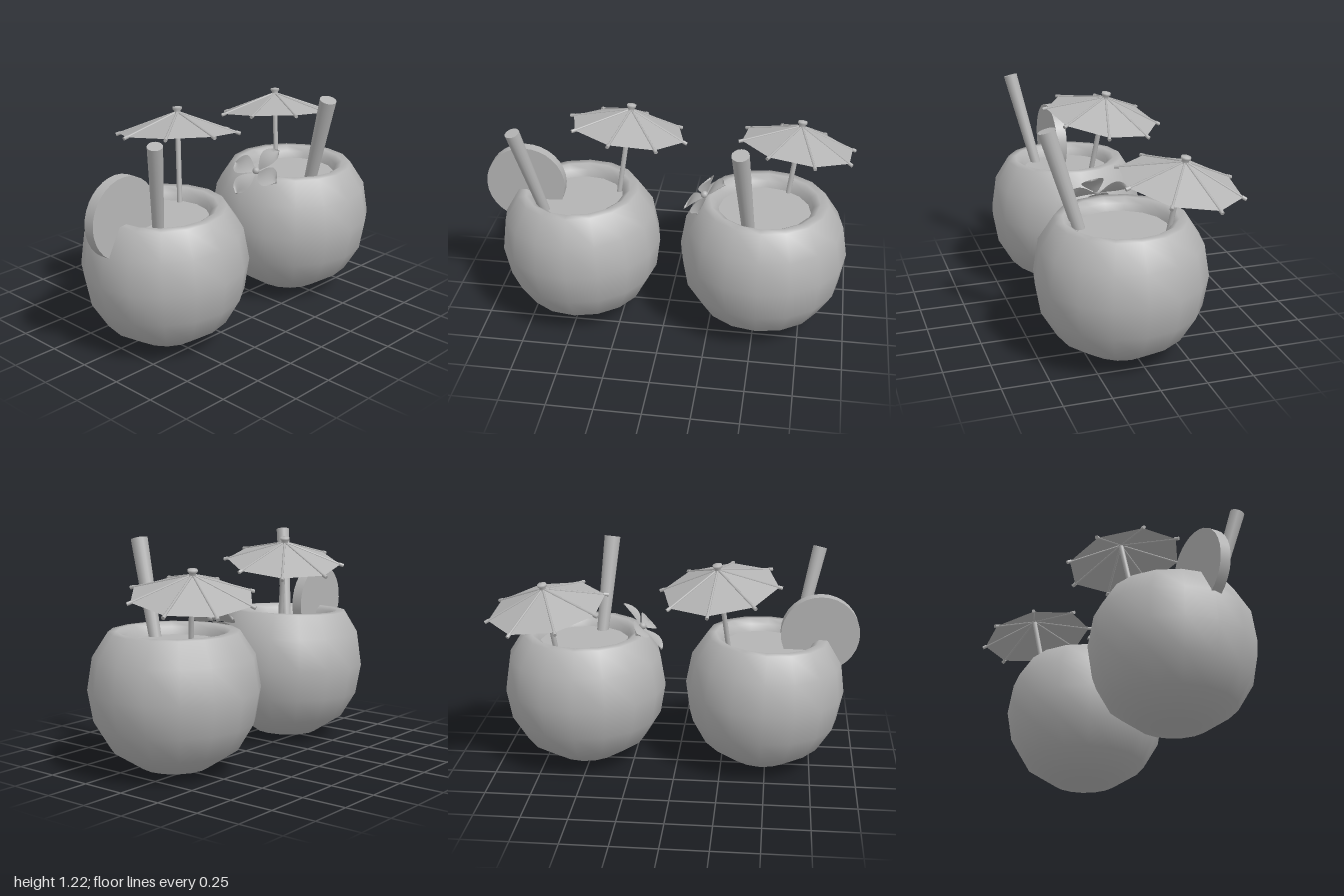
import * as THREE from 'three';

const clay = new THREE.MeshStandardMaterial({ color: 0xb4b4b4, side: THREE.DoubleSide });
clay.name = 'plain grey';
const UP = new THREE.Vector3(0, 1, 0);
const V = (x, y, z) => new THREE.Vector3(x, y, z);

function add(parent, name, geometry) {
  const mesh = new THREE.Mesh(geometry, clay);
  mesh.name = name;
  parent.add(mesh);
  return mesh;
}

// Tapered rod between two points
function rod(parent, name, a, b, ra, rb, sides = 12) {
  const dir = b.clone().sub(a);
  const mesh = add(parent, name, new THREE.CylinderGeometry(rb, ra, dir.length(), sides));
  mesh.position.copy(a).add(b).multiplyScalar(0.5);
  mesh.quaternion.setFromUnitVectors(UP, dir.normalize());
  return mesh;
}

// Hollow coconut with a rounded rim, filled with liquid
function coconut(x, z, scale, tilt) {
  const group = new THREE.Group();
  group.name = 'coconut';
  const profile = [
    [0, -0.445], [0.18, -0.416], [0.335, -0.312], [0.417, -0.17], [0.445, 0],
    [0.417, 0.175], [0.335, 0.305], [0.29, 0.308], [0.255, 0.285], [0.24, 0.23],
  ].map(([r, y]) => new THREE.Vector2(r, y));
  add(group, 'shell', new THREE.LatheGeometry(profile, 16));
  const liquid = add(group, 'liquid', new THREE.CircleGeometry(0.25, 16));
  liquid.rotation.x = -Math.PI / 2;
  liquid.position.y = 0.245;
  group.position.set(x, 0.455, z);
  group.scale.set(scale, 1, scale);
  group.rotation.x = tilt;
  return group;
}

// Cocktail umbrella, placed by the centre of its rim
function umbrella(x, y, z, turn, stickLength) {
  const group = new THREE.Group();
  group.name = 'umbrella';
  const R = 0.318, H = 0.112;
  const cone = new THREE.ConeGeometry(R, H, 8, 1, true).toNonIndexed();
  cone.computeVertexNormals();
  add(group, 'canopy', cone).position.y = H / 2;
  for (let i = 0; i < 8; i++) {
    const a = i * Math.PI / 4, c = Math.cos(a), s = Math.sin(a);
    rod(group, 'rib', V(0, H, 0), V(c * R, 0, s * R), 0.006, 0.007, 6);
    rod(group, 'ribTip', V(c * 0.312, 0.002, s * 0.312), V(c * 0.336, -0.006, s * 0.336), 0.01, 0.01, 8);
  }
  rod(group, 'stick', V(0, -stickLength, 0), V(0, H, 0), 0.014, 0.014, 10);
  const knob = [[0.02, 0], [0.017, 0.014], [0.026, 0.024], [0.025, 0.035], [0, 0.039]];
  add(group, 'knob', new THREE.LatheGeometry(knob.map(([r, h]) => new THREE.Vector2(r, h)), 12))
    .position.y = H - 0.008;
  group.position.set(x, y, z);
  group.quaternion.setFromUnitVectors(UP, V(-0.156, 1, -0.13).normalize())
    .multiply(new THREE.Quaternion().setFromAxisAngle(UP, -turn * Math.PI / 180));
  return group;
}

// Thin cupped petal along +x
function petalGeometry() {
  const geo = new THREE.PlaneGeometry(1, 1, 10, 6);
  const p = geo.attributes.position;
  for (let i = 0; i < p.count; i++) {
    const t = p.getX(i) + 0.5, s = p.getY(i) * 2;
    const w = 0.06 * Math.pow(Math.max(0, Math.sin(Math.PI * Math.pow(t, 1.35))), 0.7);
    p.setXYZ(i, 0.01 + 0.16 * t, w * s, 0.02 * Math.sin(Math.PI * t) + 0.012 * s * s * t);
  }
  geo.computeVertexNormals();
  return geo;
}

function flower() {
  const group = new THREE.Group();
  group.name = 'flower';
  const geo = petalGeometry();
  for (const degrees of [67, -10, 175, 253]) {
    add(group, 'petal', geo).rotation.z = degrees * Math.PI / 180;
  }
  add(group, 'flowerCentre', new THREE.SphereGeometry(0.02, 12, 8)).position.z = 0.012;
  group.position.set(0.085, 0.78, -0.21);
  group.rotation.x = -Math.PI / 4;
  return group;
}

export function createModel() {
  const model = new THREE.Group();
  model.name = 'coconutDrinks';

  // Front drink
  model.add(coconut(0.07, 0.485, 0.995, 0.035));
  model.add(umbrella(-0.08, 1.07, 0.238, 9.5, 0.4));
  rod(model, 'straw', V(0.2, 0.66, 0.648), V(0.32, 1.205, 0.77), 0.028, 0.039, 16);

  // Fruit slice wedged on the front rim
  const slice = new THREE.Group();
  slice.name = 'fruitSlice';
  add(slice, 'sliceDisc', new THREE.CylinderGeometry(0.216, 0.216, 0.06, 32)).rotation.z = Math.PI / 2;
  slice.position.set(0.073, 0.783, 0.782);
  slice.rotation.set(0, 0.04, 0.02);
  model.add(slice);

  // Back drink
  model.add(coconut(0.058, -0.528, 1.025, 0));
  model.add(umbrella(-0.2, 0.975, -0.68, 27.5, 0.3));
  rod(model, 'straw', V(0.25, 0.66, -0.46), V(0.41, 1.215, -0.412), 0.033, 0.046, 16);
  model.add(flower());

  return model;
}
